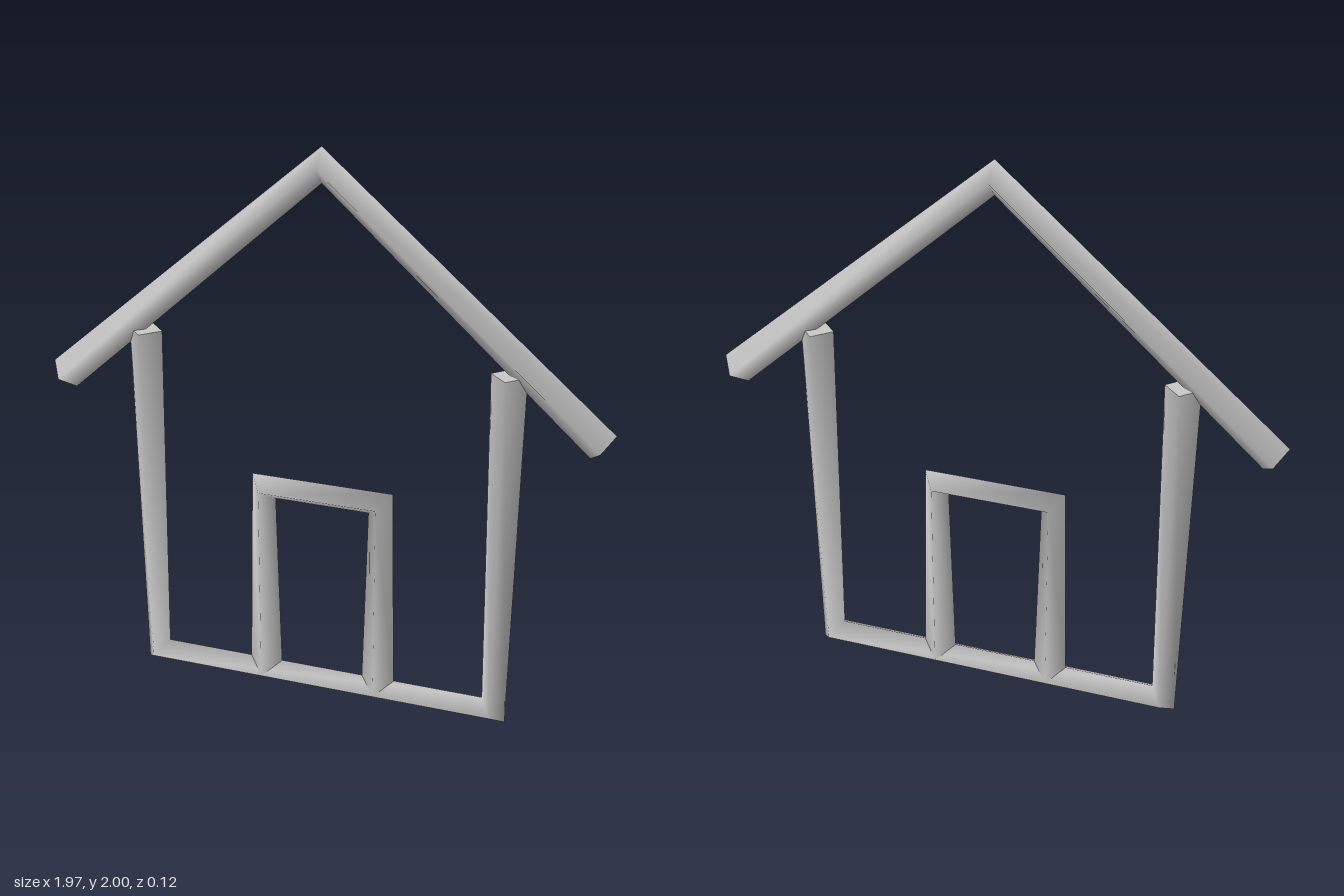
import * as THREE from 'three';

const RADIUS = 0.06;
const SIDES = 4;

// Diamond-section bar swept along a flat path, with mitred corners and closed ends
function barGeometry(points) {
  const path = points.map(([x, y]) => new THREE.Vector2(x, y));
  const last = path.length - 1;
  const rings = path.map((p, i) => {
    const t = new THREE.Vector2();
    if (i > 0) t.add(p.clone().sub(path[i - 1]).normalize());
    if (i < last) t.add(path[i + 1].clone().sub(p).normalize());
    t.normalize();
    const ring = [];
    for (let j = 0; j < SIDES; j++) {
      const a = (j / SIDES) * Math.PI * 2;
      const c = Math.cos(a) * RADIUS;
      ring.push([p.x - t.y * c, p.y + t.x * c, -Math.sin(a) * RADIUS]);
    }
    return ring;
  });

  const index = [];
  for (let i = 0; i < last; i++) {
    for (let j = 0; j < SIDES; j++) {
      const k = (j + 1) % SIDES;
      const a = i * SIDES + j, b = a + SIDES;
      const c = (i + 1) * SIDES + k, d = i * SIDES + k;
      index.push(a, b, c, a, c, d);
    }
  }

  // End caps have their own corners so their edges stay sharp
  const start = rings.length * SIDES, end = start + SIDES;
  for (let j = 1; j < SIDES - 1; j++) {
    index.push(start, start + j, start + j + 1);
    index.push(end, end + j + 1, end + j);
  }

  const geometry = new THREE.BufferGeometry();
  const corners = [...rings, rings[0], rings[last]].flat(2);
  geometry.setAttribute('position', new THREE.Float32BufferAttribute(corners, 3));
  geometry.setIndex(index);
  geometry.computeVertexNormals();
  return geometry;
}

export function createModel() {
  const house = new THREE.Group();
  house.name = 'houseOutline';

  const grey = new THREE.MeshStandardMaterial({ color: 0xc8c8c8 });
  grey.name = 'lightGrey';

  const parts = {
    roof: [[-0.945, 1.105], [0, 1.94], [0.945, 1.105]],
    wallsAndFloor: [[-0.63, 1.31], [-0.632, 0.043], [0.632, 0.043], [0.63, 1.31]],
    doorFrame: [[-0.21, 0.05], [-0.21, 0.782], [0.21, 0.782], [0.21, 0.05]],
  };
  for (const [name, points] of Object.entries(parts)) {
    const mesh = new THREE.Mesh(barGeometry(points), grey);
    mesh.name = name;
    house.add(mesh);
  }
  return house;
}
